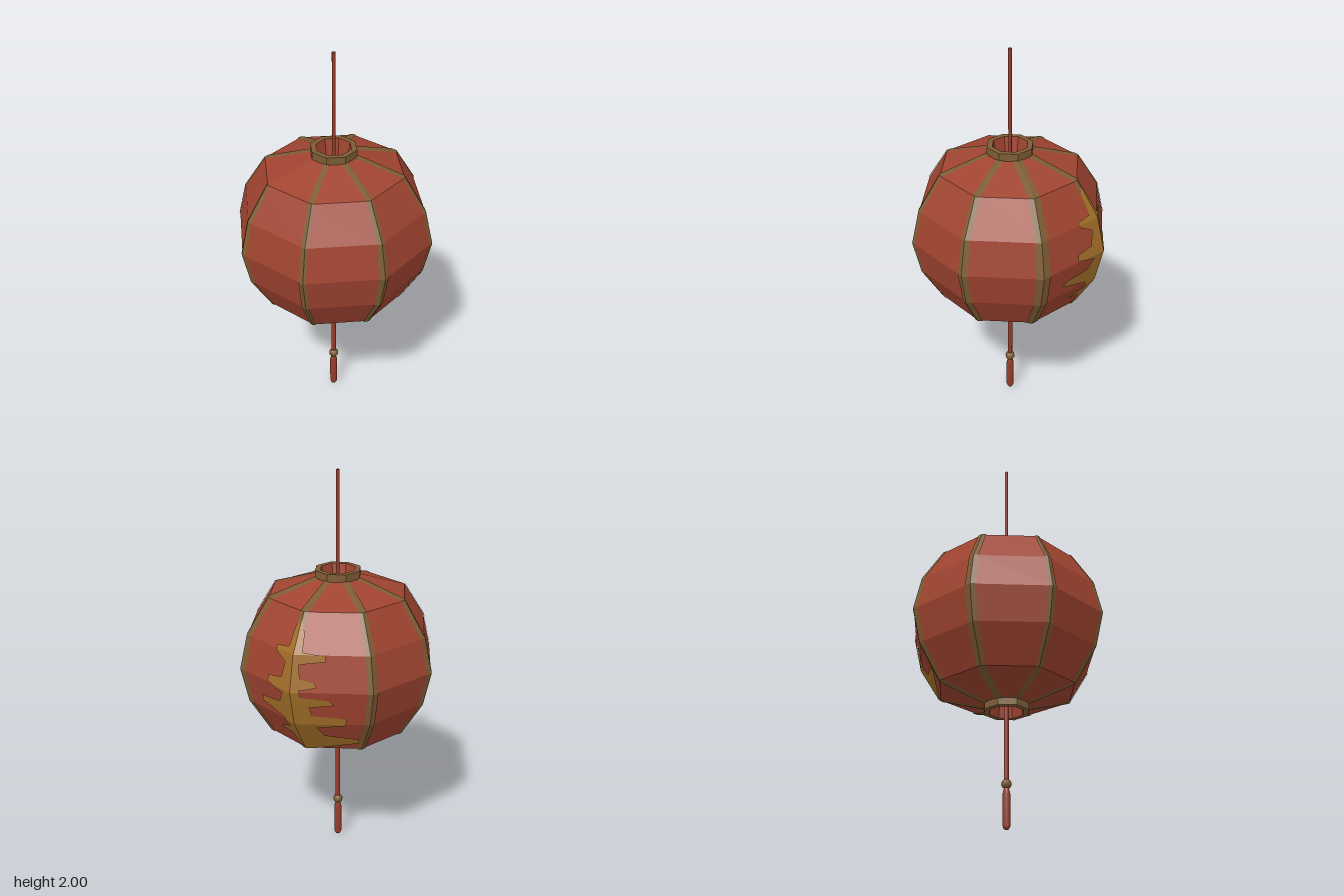
import * as THREE from 'three';

const MID = 1.05; // height of the lantern's widest ring
const PROFILE = [[0.11, 0.62], [0.355, 0.695], [0.465, 0.875], [0.505, MID],
  [0.465, 1.225], [0.355, 1.4], [0.11, 1.478]];

const mat = (name, color) => {
  const m = new THREE.MeshStandardMaterial({ color });
  m.name = name;
  return m;
};

// piecewise-linear lookup of [key, value] rows with ascending keys
function lookup(rows, x) {
  for (let i = 1; i < rows.length; i++) {
    const [x0, v0] = rows[i - 1], [x1, v1] = rows[i];
    if (x <= x1) return v0 + (v1 - v0) * Math.max(0, (x - x0) / (x1 - x0));
  }
  return rows[rows.length - 1][1];
}
const radiusAt = (y) => lookup(PROFILE.map(([r, h]) => [h, r]), y);

// faceted lathe with eight sides
function octagon(points) {
  const g = new THREE.LatheGeometry(points.map(([r, y]) => new THREE.Vector2(r, y)), 8).toNonIndexed();
  g.computeVertexNormals();
  return g;
}

// painted strip on a panel, beside rib k; rows are [height, width from the rib]
function paintStrip(k, side, rows, lift) {
  const lo = rows[0][0], hi = rows[rows.length - 1][0];
  const ys = [...rows.map((r) => r[0]), ...PROFILE.map((p) => p[1]).filter((y) => y > lo && y < hi)];
  ys.sort((a, b) => a - b);
  const point = (y, w) => {
    const dir = (i) => new THREE.Vector3(Math.sin(i * Math.PI / 4), 0, Math.cos(i * Math.PI / 4));
    const r = radiusAt(y);
    const a = dir(k).multiplyScalar(r), b = dir(k + side).multiplyScalar(r);
    const p = a.clone().lerp(b, Math.min(1, w / a.distanceTo(b)));
    p.y = y - MID;
    p.multiplyScalar(lift).y += MID;
    return p;
  };
  const pts = [];
  for (let i = 1; i < ys.length; i++) {
    const y0 = ys[i - 1], y1 = ys[i];
    if (y1 - y0 < 1e-4) continue;
    const a = point(y0, 0), b = point(y0, lookup(rows, y0));
    const c = point(y1, lookup(rows, y1)), d = point(y1, 0);
    pts.push(...(side > 0 ? [a, b, c, a, c, d] : [a, c, b, a, d, c]));
  }
  const g = new THREE.BufferGeometry().setFromPoints(pts);
  g.computeVertexNormals();
  return g;
}

export function createModel() {
  const group = new THREE.Group();
  const red = mat('lantern red', 0xa04430);
  const cordRed = mat('cord red', 0x963c2a);
  const brass = mat('dull brass', 0x7d5c34);
  const gold = mat('painted gold', 0xa06d28);

  const add = (name, geometry, material, y = 0) => {
    const m = new THREE.Mesh(geometry, material);
    m.name = name;
    m.position.y = y;
    group.add(m);
  };

  // paper body
  add('lanternBody', octagon(PROFILE), red);

  // brass collars with recessed red cups, mirrored top and bottom
  const flip = (pts) => pts.map(([r, y]) => [r, 2 * MID - y]).reverse();
  const collar = [[0.1, 1.475], [0.118, 1.475], [0.118, 1.515], [0.09, 1.515]];
  const cup = [[0.09, 1.515], [0.07, 1.4], [0, 1.4]];
  add('topCollar', octagon(collar), brass);
  add('topCup', octagon(cup), red);
  add('bottomCollar', octagon(flip(collar)), brass);
  add('bottomCup', octagon(flip(cup)), red);

  // cut the body open inside each collar by starting it at the collar radius;
  // rib stripes: widths on the two sides of each rib, starting at the front
  const ribs = [[0.013, 0.022], [0.02, 0.024], [0.026, 0.02], [0.036, 0.03],
    [0.022, 0.026], [0.026, 0.022], [0.022, 0.028], [0.022, 0.016]];
  ribs.forEach((widths, k) => widths.forEach((w, i) => {
    const top = k === 7 ? 1.4 : 1.478; // one rib is bare on its upper slope
    const rows = [[0.62, w * 0.8], [0.8, w * 1.1], [1.05, w * 1.2], [1.3, w], [top, w * 0.8]];
    add('ribStripe', paintStrip(k, i ? -1 : 1, rows, 1.008), brass);
  }));

  // branching gold ornament around the back rib
  const branchRight = [[0.7, 0.04], [0.745, 0.27], [0.775, 0.28], [0.8, 0.12], [0.85, 0.1],
    [0.87, 0.24], [0.91, 0.25], [0.925, 0.09], [0.97, 0.08], [0.985, 0.2], [1.01, 0.18],
    [1.025, 0.05], [1.06, 0.04], [1.075, 0.12], [1.1, 0.11], [1.115, 0.04], [1.18, 0.03],
    [1.195, 0.15], [1.22, 0.15], [1.235, 0.04], [1.31, 0.03], [1.36, 0.005]];
  const branchLeft = [[0.72, 0.02], [0.79, 0.05], [0.8, 0.12], [0.825, 0.11], [0.84, 0.05],
    [0.89, 0.07], [0.93, 0.23], [0.96, 0.22], [0.975, 0.09], [1.03, 0.06], [1.06, 0.17],
    [1.09, 0.16], [1.105, 0.07], [1.18, 0.05], [1.215, 0.12], [1.24, 0.12], [1.25, 0.04],
    [1.33, 0.03], [1.37, 0.005]];
  add('ornamentRight', paintStrip(4, 1, branchRight, 1.014), gold);
  add('ornamentLeft', paintStrip(4, -1, branchLeft, 1.014), gold);

  // hanging cord, lower cord, bead and tassel
  add('hangingCord', new THREE.CylinderGeometry(0.009, 0.009, 0.6, 8), cordRed, 1.7);
  add('lowerCord', new THREE.CylinderGeometry(0.013, 0.013, 0.51, 8), cordRed, 0.455);
  add('bead', new THREE.SphereGeometry(0.025, 10, 8), brass, 0.222);
  const tassel = [[0, 0], [0.012, 0.005], [0.019, 0.02], [0.02, 0.17], [0.014, 0.195], [0.008, 0.21]];
  add('tassel', new THREE.LatheGeometry(tassel.map(([r, y]) => new THREE.Vector2(r, y)), 10), cordRed);

  return group;
}
